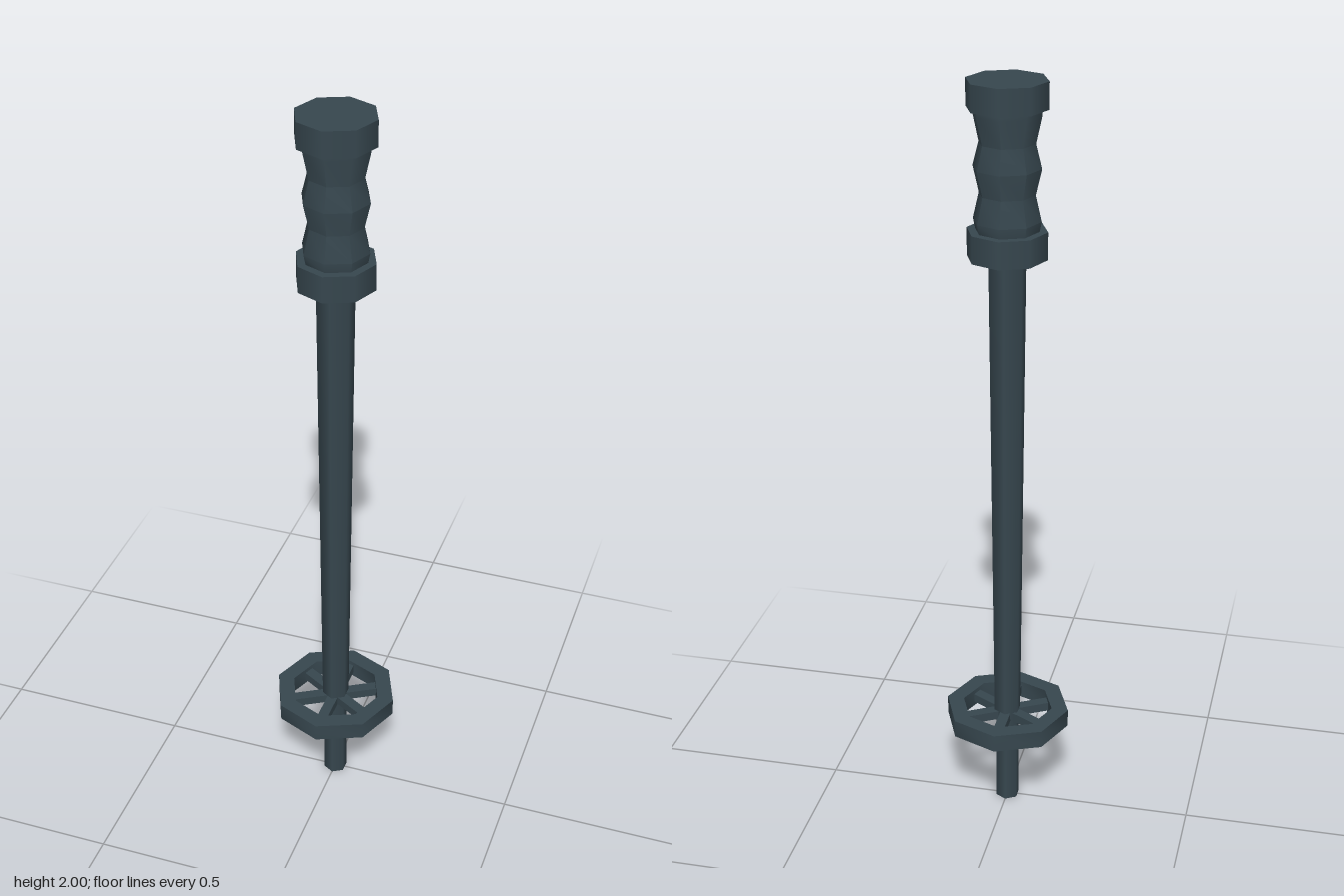
import * as THREE from 'three';
import { toCreasedNormals } from 'three/addons/utils/BufferGeometryUtils.js';

export function createModel() {
  const group = new THREE.Group();
  group.name = 'skiPole';
  const slate = new THREE.MeshStandardMaterial({ color: 0x37474f });
  slate.name = 'darkSlate';

  const add = (parent, name, geometry, x = 0, y = 0, z = 0) => {
    const mesh = new THREE.Mesh(geometry, slate);
    mesh.name = name;
    mesh.position.set(x, y, z);
    parent.add(mesh);
    return mesh;
  };
  // Turned part with soft sides and sharp rims
  const turned = (profile, sides) => toCreasedNormals(
    new THREE.LatheGeometry(profile.map(([r, y]) => new THREE.Vector2(r, y)), sides),
    THREE.MathUtils.degToRad(50));

  // Six-sided tip and tapered shaft
  add(group, 'tip', new THREE.CylinderGeometry(0.032, 0.032, 0.27, 6), 0, 0.135, 0);
  add(group, 'shaft', new THREE.CylinderGeometry(0.049, 0.036, 1.35, 6), 0, 0.925, -0.002);

  // Handle: collar, waved grip and cap
  const handle = new THREE.Group();
  handle.name = 'handle';
  handle.position.z = -0.004;
  group.add(handle);
  add(handle, 'collar', new THREE.CylinderGeometry(0.101, 0.101, 0.07, 8), 0, 1.6, 0);
  add(handle, 'grip', turned([
    [0.079, 1.63], [0.085, 1.66], [0.07, 1.725], [0.085, 1.79], [0.07, 1.85], [0.085, 1.92], [0.083, 1.94],
  ], 8));
  add(handle, 'cap', new THREE.CylinderGeometry(0.101, 0.101, 0.067, 8), 0, 1.9665, 0);

  // Basket: octagonal ring held by six spokes
  const basket = new THREE.Group();
  basket.name = 'basket';
  basket.position.y = 0.267;
  group.add(basket);
  add(basket, 'basketRing', turned([
    [0.167, -0.024], [0.167, 0.024], [0.122, 0.024], [0.122, -0.024], [0.167, -0.024],
  ], 8));
  for (let i = 0; i < 6; i++) {
    const a = i * Math.PI / 3;
    const spoke = add(basket, 'spoke', new THREE.BoxGeometry(0.028, 0.024, 0.1),
      Math.sin(a) * 0.071, 0, Math.cos(a) * 0.071);
    spoke.rotation.y = a;
  }
  return group;
}
